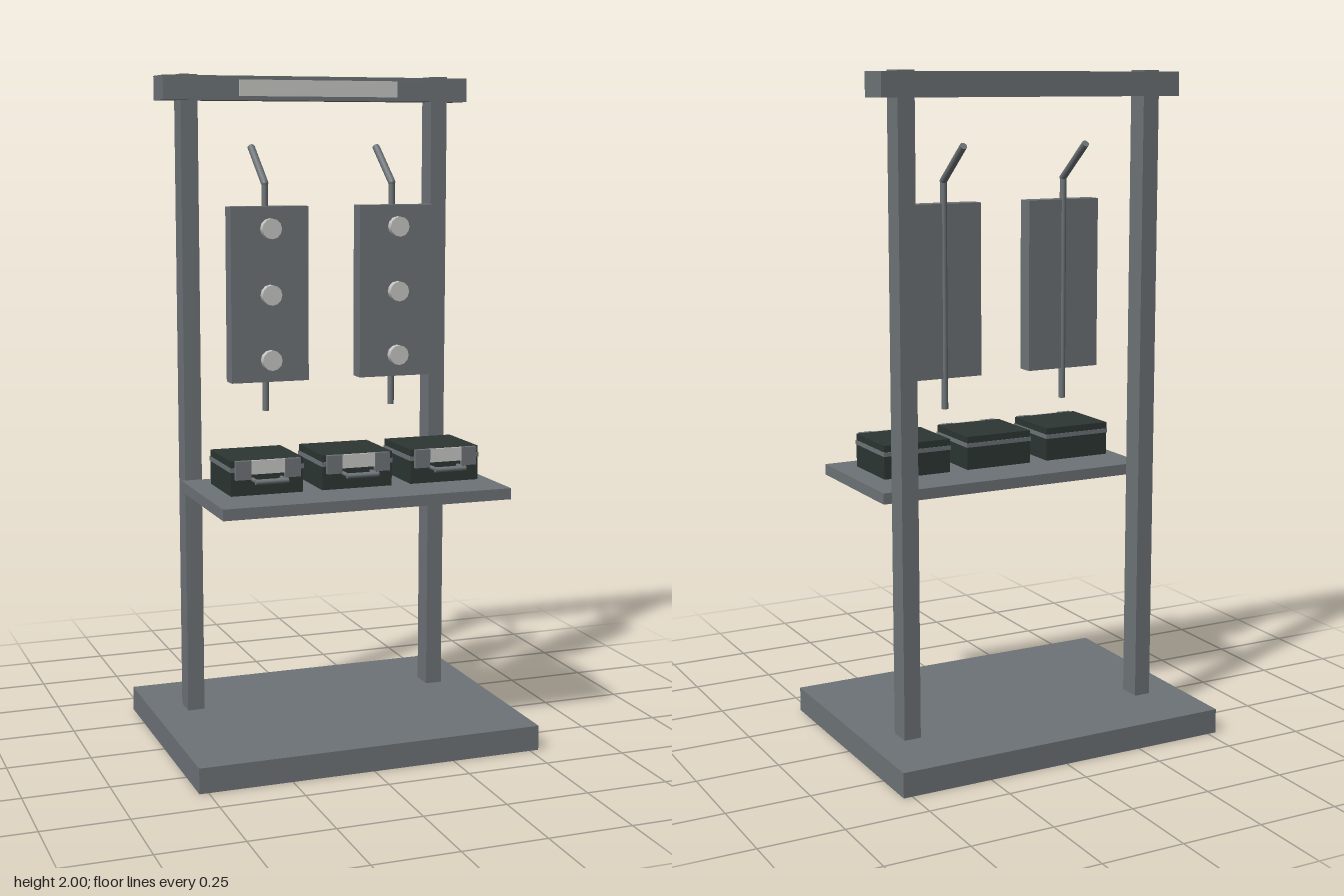
import * as THREE from 'three';

const mat = (name, color) => {
  const m = new THREE.MeshStandardMaterial({ color });
  m.name = name;
  return m;
};

export function createModel() {
  const steel = mat('steel grey', 0x6d7377);
  const dark = mat('dark green', 0x2c3633);
  const pale = mat('pale grey', 0xc6c7c3);
  const root = new THREE.Group();
  root.name = 'displayStand';

  const add = (parent, name, geometry, material) => {
    const mesh = new THREE.Mesh(geometry, material);
    mesh.name = name;
    parent.add(mesh);
    return mesh;
  };
  // Box given by its lower and upper limits on each axis
  const box = (parent, name, material, [x0, x1], [y0, y1], [z0, z1]) => {
    const mesh = add(parent, name, new THREE.BoxGeometry(x1 - x0, y1 - y0, z1 - z0), material);
    mesh.position.set((x0 + x1) / 2, (y0 + y1) / 2, (z0 + z1) / 2);
    return mesh;
  };
  // Straight round bar between two points
  const bar = (parent, name, material, a, b, radius) => {
    const from = new THREE.Vector3(...a), to = new THREE.Vector3(...b);
    const dir = to.clone().sub(from);
    const mesh = add(parent, name, new THREE.CylinderGeometry(radius, radius, dir.length(), 12), material);
    mesh.position.copy(from).add(to).multiplyScalar(0.5);
    mesh.quaternion.setFromUnitVectors(new THREE.Vector3(0, 1, 0), dir.normalize());
    return mesh;
  };

  // Frame
  box(root, 'base', steel, [-0.527, 0.527], [0, 0.075], [-0.39, 0.39]);
  for (const s of [-1, 1]) {
    box(root, s < 0 ? 'rightPost' : 'leftPost', steel,
      [s * 0.397 - 0.026, s * 0.397 + 0.026], [0.07, 2], [-0.174, -0.104]);
  }
  box(root, 'topBeam', steel, [-0.48, 0.48], [1.925, 1.996], [-0.194, -0.084]);
  box(root, 'headerPlate', pale, [-0.25, 0.25], [1.937, 1.985], [-0.084, -0.081]);
  box(root, 'shelf', steel, [-0.44, 0.44], [0.767, 0.8], [-0.084, 0.355]);

  // Hanging panels with a bent rod and three knobs each
  for (const x of [-0.2, 0.2]) {
    const hanger = new THREE.Group();
    hanger.name = 'hangingPanel';
    hanger.position.x = x;
    root.add(hanger);
    box(hanger, 'panel', steel, [-0.119, 0.119], [1.105, 1.619], [-0.006, 0.047]);
    bar(hanger, 'rod', steel, [0, 1.013, 0], [0, 1.685, 0], 0.01);
    bar(hanger, 'rodHook', steel, [0, 1.685, 0], [0, 1.789, -0.13], 0.011);
    add(hanger, 'rodBend', new THREE.SphereGeometry(0.011, 12, 8), steel).position.set(0, 1.685, 0);
    for (const y of [1.17, 1.362, 1.555]) {
      bar(hanger, 'knob', pale, [0, y, 0.045], [0, y, 0.07], 0.03);
    }
  }

  // Row of cases on the shelf
  for (const x of [-0.275, 0, 0.275]) {
    const kit = new THREE.Group();
    kit.name = 'case';
    kit.position.x = x;
    root.add(kit);
    box(kit, 'caseBody', dark, [-0.108, 0.108], [0.81, 0.88], [0.035, 0.241]);
    box(kit, 'caseLid', dark, [-0.108, 0.108], [0.89, 0.912], [0.035, 0.241]);
    box(kit, 'caseSeam', steel, [-0.11, 0.11], [0.879, 0.892], [0.033, 0.243]);
    box(kit, 'caseLabel', pale, [-0.05, 0.053], [0.872, 0.912], [0.243, 0.251]);
    for (const s of [-1, 1]) {
      box(kit, 'latch', steel, [s * 0.074 - 0.023, s * 0.074 + 0.023], [0.858, 0.912], [0.24, 0.255]);
      bar(kit, 'handleArm', steel, [s * 0.043, 0.856, 0.238], [s * 0.043, 0.856, 0.287], 0.006);
    }
    bar(kit, 'handleGrip', steel, [-0.049, 0.856, 0.286], [0.049, 0.856, 0.286], 0.008);
  }
  return root;
}
